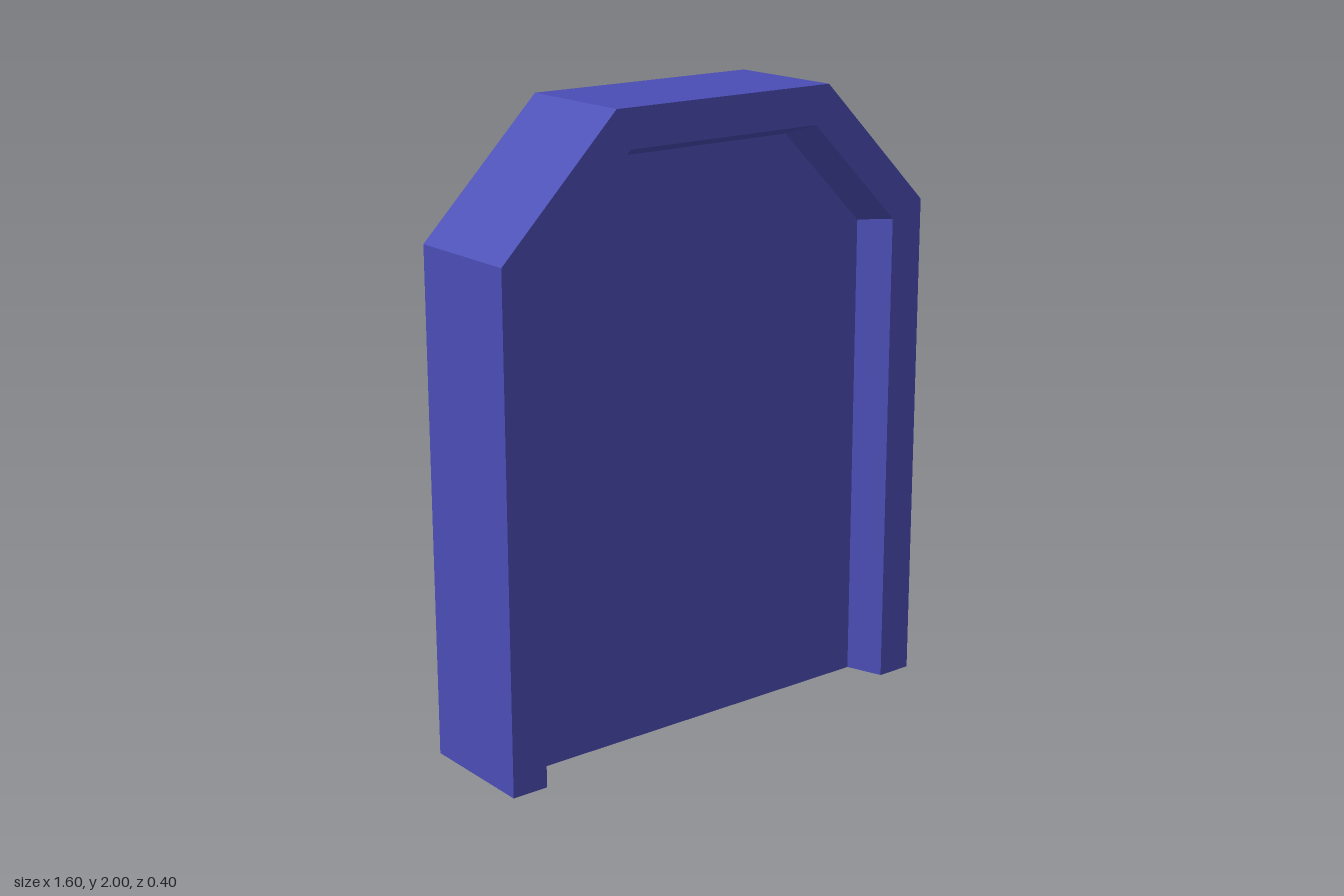
import * as THREE from 'three';

const material = new THREE.MeshStandardMaterial({ color: 0x4a4db5, side: THREE.DoubleSide });

// Chamfered arch outline, inset evenly from the outside, open at the bottom.
function outline(inset, z) {
  const w = 0.8 - inset, top = 2 - inset;
  const shift = inset * Math.tan(Math.PI / 8);
  const half = 0.4 - shift, shoulder = 1.6 - shift;
  return [[w, 0], [w, shoulder], [half, top], [-half, top], [-w, shoulder], [-w, 0]]
    .map(([x, y]) => new THREE.Vector3(x, y, z));
}

// Flat-faced strip joining two outlines.
function band(name, a, b) {
  const points = [];
  for (let i = 0; i < a.length - 1; i++) {
    points.push(a[i], a[i + 1], b[i + 1], a[i], b[i + 1], b[i]);
  }
  const geometry = new THREE.BufferGeometry().setFromPoints(points);
  geometry.computeVertexNormals();
  const mesh = new THREE.Mesh(geometry, material);
  mesh.name = name;
  return mesh;
}

export function createModel() {
  const model = new THREE.Group();
  model.name = 'archedPanel';

  const front = 0.2, back = -0.2, panelZ = 0.08;
  const frameWidth = 0.12, panelInset = 0.16;

  // Outer wall, front frame and the sloping reveal, open at the back and bottom
  model.add(
    band('outerWall', outline(0, back), outline(0, front)),
    band('frontFrame', outline(0, front), outline(frameWidth, front)),
    band('reveal', outline(frameWidth, front), outline(panelInset, panelZ)),
  );

  // Recessed panel
  const shape = new THREE.Shape(outline(panelInset, 0).map((p) => new THREE.Vector2(p.x, p.y)));
  const panel = new THREE.Mesh(new THREE.ShapeGeometry(shape), material);
  panel.name = 'recessedPanel';
  panel.position.z = panelZ;
  model.add(panel);

  return model;
}
